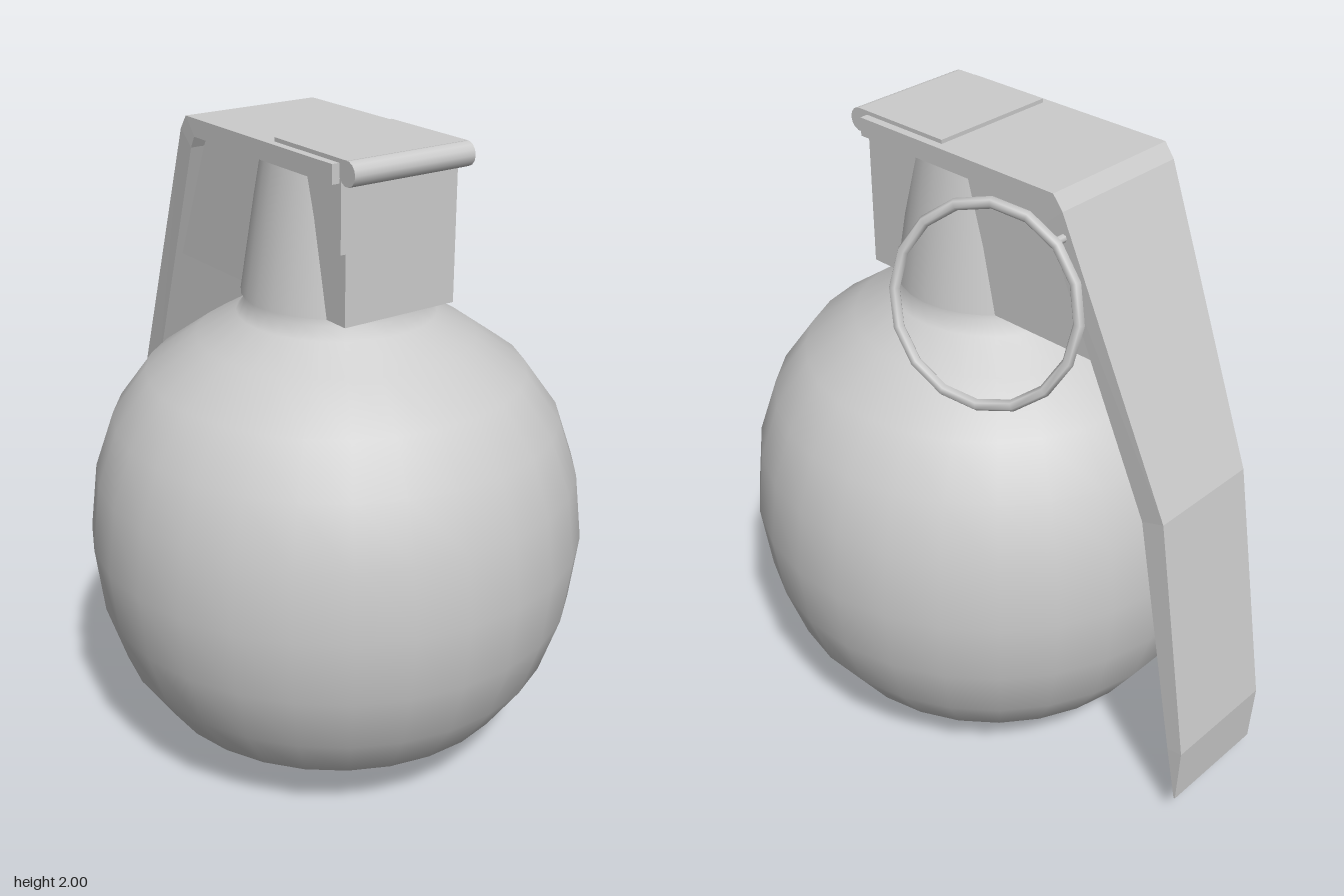
import * as THREE from 'three';

const smooth = new THREE.MeshStandardMaterial({ color: 0xcccccc });
const flat = new THREE.MeshStandardMaterial({ color: 0xcccccc, flatShading: true });

export function createModel() {
  const group = new THREE.Group();
  const add = (name, geometry, material, x = 0, y = 0, z = 0) => {
    const mesh = new THREE.Mesh(geometry, material);
    mesh.name = name;
    mesh.position.set(x, y, z);
    group.add(mesh);
    return mesh;
  };
  const axisZ = 0.1; // centre line of body and neck

  // Round body flaring into the neck
  const profile = [
    [0, 0], [0.13, 0.004], [0.27, 0.03], [0.42, 0.1], [0.575, 0.2], [0.68, 0.355],
    [0.74, 0.54], [0.765, 0.75], [0.74, 0.96], [0.68, 1.135], [0.575, 1.28],
    [0.42, 1.39], [0.3, 1.46], [0.27, 1.495], [0.27, 1.54],
  ].map(([r, y]) => new THREE.Vector2(r * 1.006, y));
  add('body', new THREE.LatheGeometry(profile, 28, Math.PI / 28), smooth, 0, 0, axisZ);

  // Tapered round core of the head
  add('headCore', new THREE.CylinderGeometry(0.222, 0.287, 0.42, 28, 1, true), smooth, 0, 1.73, axisZ);
  const coreBase = add('headCoreBase', new THREE.CircleGeometry(0.287, 28), flat, 0, 1.52, axisZ);
  coreBase.rotation.x = Math.PI / 2;

  // Straight-sided head block, with its back sloped to follow the lever
  const headWidth = 0.39;
  const side = new THREE.Shape([
    [-0.4, 1.52], [0.48, 1.52], [0.32, 1.94], [-0.4, 1.94],
  ].map(([x, y]) => new THREE.Vector2(x, y)));
  const block = new THREE.ExtrudeGeometry(side, { depth: headWidth, bevelEnabled: false });
  block.translate(0, 0, -headWidth / 2).rotateY(Math.PI / 2);
  add('headBlock', block, flat, 0.005);

  // Small tab on the front corner of the head
  add('frontTab', new THREE.BoxGeometry(0.09, 0.21, 0.035), flat, -0.167, 1.84, 0.39);

  // Safety lever: a box bent through stations [outer z, outer y, inner z, inner y, half width]
  const stations = [
    [0.4, 1.988, 0.4, 1.932, 0.233],
    [-0.345, 1.988, -0.3, 1.932, 0.233],
    [-0.378, 1.945, -0.322, 1.895, 0.232],
    [-0.735, 1.085, -0.66, 1.06, 0.188],
    [-0.862, 0.28, -0.81, 0.27, 0.193],
    [-0.85, 0.08, -0.845, 0.08, 0.19],
  ];
  const lever = new THREE.BoxGeometry(1, 1, 1, 1, 1, stations.length - 1);
  const p = lever.attributes.position;
  for (let i = 0; i < p.count; i++) {
    const s = stations[Math.round((0.5 - p.getZ(i)) * (stations.length - 1))];
    const outer = p.getY(i) > 0;
    p.setXYZ(i, Math.sign(p.getX(i)) * s[4], outer ? s[1] : s[3], outer ? s[0] : s[2]);
  }
  lever.computeVertexNormals();
  add('lever', lever, flat, -0.004);

  // Folded front edge of the lever: hinge roll and top flap
  const roll = add('hingeRoll', new THREE.CylinderGeometry(0.036, 0.036, 0.415, 14), smooth, -0.005, 1.964, 0.434);
  roll.rotation.z = Math.PI / 2;
  add('topFlap', new THREE.BoxGeometry(0.415, 0.02, 0.34), flat, -0.005, 1.99, 0.264);

  // Pull ring and its pin on the left side
  const ring = add('pullRing', new THREE.TorusGeometry(0.282, 0.017, 6, 16), smooth, 0.367, 1.666, -0.225);
  ring.quaternion.setFromUnitVectors(
    new THREE.Vector3(0, 0, 1), new THREE.Vector3(1, 0.28, -0.28).normalize());
  const pin = add('pin', new THREE.CylinderGeometry(0.012, 0.012, 0.17, 8), smooth, 0.18, 1.87, -0.38);
  pin.rotation.z = Math.PI / 2;

  return group;
}
